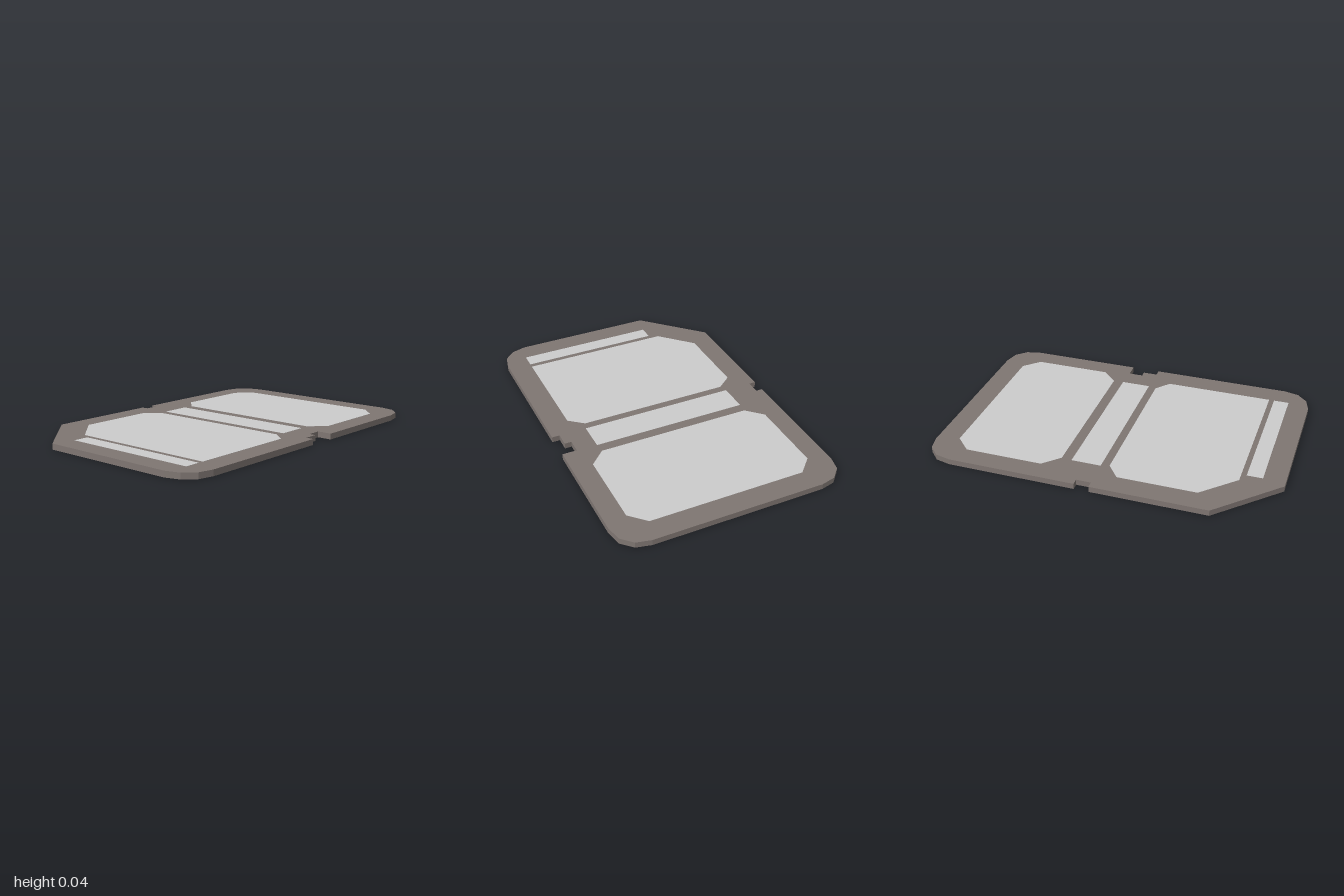
import * as THREE from 'three';

const body = new THREE.MeshStandardMaterial({ name: 'warm grey plastic', color: 0x7f7672 });
const pale = new THREE.MeshStandardMaterial({ name: 'pale grey label', color: 0xcccccc });
const THICKNESS = 0.034;

// Flat slab from an outline of [x, z] points, standing on height y
function slab(name, outline, y, height, material) {
  const shape = new THREE.Shape(outline.map(([x, z]) => new THREE.Vector2(x, -z)));
  const geometry = new THREE.ExtrudeGeometry(shape, { depth: height, bevelEnabled: false });
  geometry.rotateX(-Math.PI / 2);
  const mesh = new THREE.Mesh(geometry, material);
  mesh.name = name;
  mesh.position.y = y;
  return mesh;
}

export function createModel() {
  const group = new THREE.Group();
  group.name = 'memoryCard';

  // Card body: three rounded corners, one cut corner, side notches
  group.add(slab('cardBody', [
    [-0.5, -1], [0.5, -1], [0.585, -0.98], [0.645, -0.92], [0.665, -0.83],
    [0.665, -0.17], [0.58, -0.17], [0.58, -0.085], [0.62, -0.085], [0.62, 0], [0.665, 0],
    [0.665, 0.83], [0.645, 0.915], [0.585, 0.975], [0.5, 1],
    [-0.335, 1], [-0.665, 0.665],
    [-0.665, 0], [-0.625, 0], [-0.625, -0.085], [-0.665, -0.085],
    [-0.665, -0.83], [-0.645, -0.92], [-0.585, -0.98],
  ], 0, THICKNESS, body));

  // Thin label plates on the upper face
  const labels = {
    rearLabel: [
      [-0.455, -0.87], [0.455, -0.87], [0.545, -0.78], [0.545, -0.325],
      [0.455, -0.235], [-0.455, -0.235], [-0.545, -0.325], [-0.545, -0.78],
    ],
    middleStrip: [[-0.46, -0.175], [0.46, -0.175], [0.46, -0.002], [-0.46, -0.002]],
    frontLabel: [
      [-0.445, 0.045], [0.445, 0.045], [0.53, 0.115], [0.53, 0.755],
      [-0.355, 0.755], [-0.535, 0.57], [-0.535, 0.115],
    ],
    frontStrip: [[-0.3, 0.785], [0.53, 0.785], [0.53, 0.875], [-0.3, 0.875]],
  };
  for (const [name, outline] of Object.entries(labels)) {
    group.add(slab(name, outline, THICKNESS, 0.001, pale));
  }
  return group;
}
